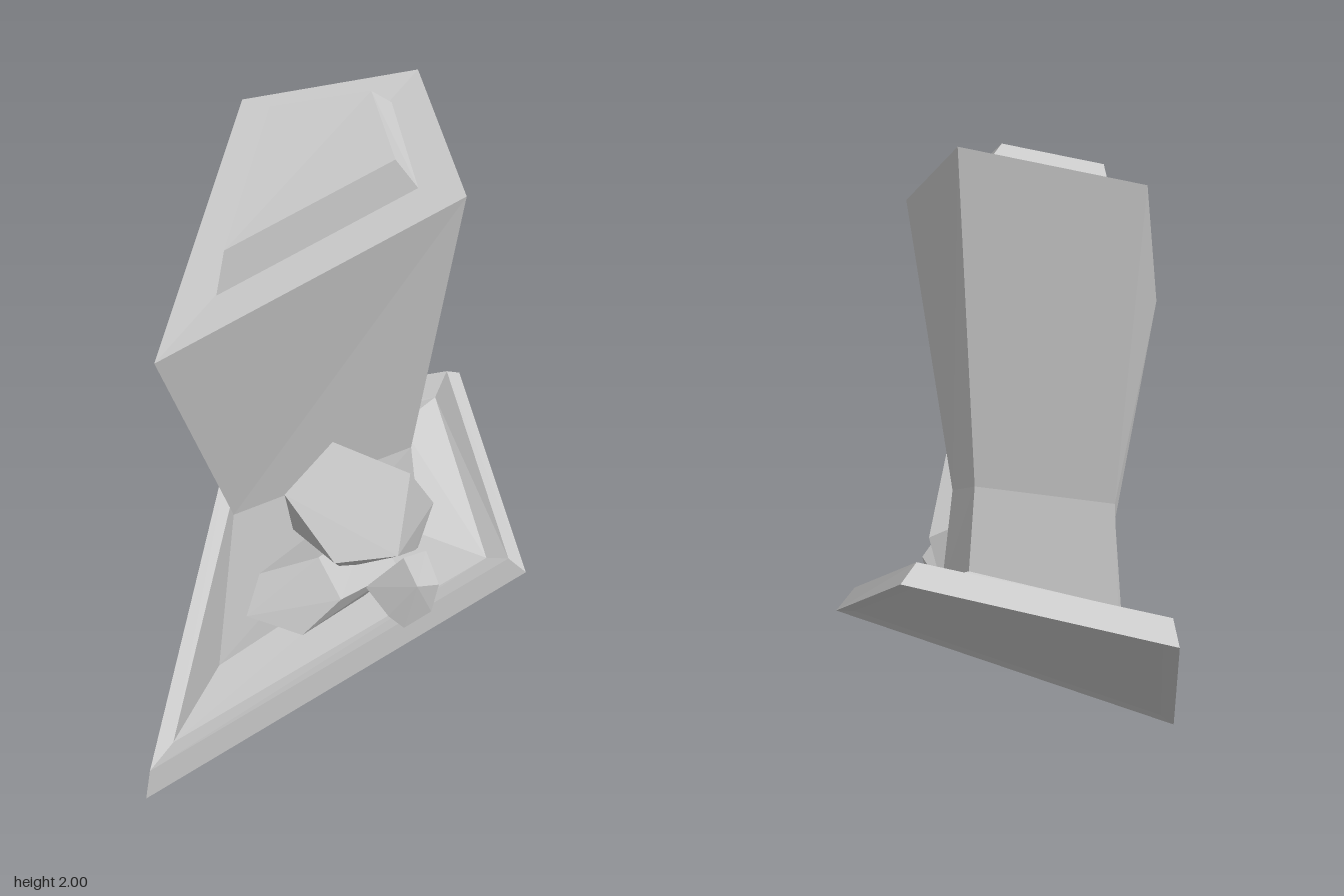
import * as THREE from 'three';
import { ConvexGeometry } from 'three/addons/geometries/ConvexGeometry.js';

const material = new THREE.MeshStandardMaterial({ color: 0xcccccc, flatShading: true });

// Joins four-cornered rings (front, left, back, right), lowest first, with optional end caps.
function loft(name, rings, capBottom, capTop) {
  const pos = [];
  const tri = (...corners) => corners.forEach((c) => pos.push(...c));
  for (let r = 0; r < rings.length - 1; r++) {
    const lo = rings[r], up = rings[r + 1];
    for (let i = 0; i < 4; i++) {
      const j = (i + 1) % 4;
      tri(lo[i], lo[j], up[j]);
      tri(lo[i], up[j], up[i]);
    }
  }
  const b = rings[0], t = rings[rings.length - 1];
  if (capBottom) { tri(b[0], b[2], b[1]); tri(b[0], b[3], b[2]); }
  if (capTop) { tri(t[0], t[1], t[2]); tri(t[0], t[2], t[3]); }
  const geo = new THREE.BufferGeometry();
  geo.setAttribute('position', new THREE.Float32BufferAttribute(pos, 3));
  geo.computeVertexNormals();
  const mesh = new THREE.Mesh(geo, material);
  mesh.name = name;
  return mesh;
}

// Shrinks a ring toward its centre and lifts it.
function inset(ring, scale, lift) {
  const mid = [0, 1, 2].map((k) => ring.reduce((s, p) => s + p[k], 0) / 4);
  return ring.map((p) => p.map((v, k) => mid[k] + (v - mid[k]) * scale + (k === 1 ? lift : 0)));
}

// Faceted crystal: the hull of an outer pentagon and its buried root.
function crystal(name, points) {
  const mesh = new THREE.Mesh(new ConvexGeometry(points.map((p) => new THREE.Vector3(...p))), material);
  mesh.name = name;
  return mesh;
}

export function createModel() {
  const group = new THREE.Group();
  group.name = 'kiteHat';

  // Kite-shaped rings, corners in the order front, left, back, right
  const brimEdge = [[-0.1, 0, 0.705], [0.58, 0.6, -0.28], [0.03, 0.9, -0.705], [-0.585, 0.71, -0.305]];
  const brimRim = [[-0.09, 0.11, 0.69], [0.545, 0.665, -0.23], [0.03, 0.94, -0.63], [-0.54, 0.77, -0.255]];
  const brimGroove = [[-0.085, 0.155, 0.59], [0.475, 0.64, -0.22], [0.03, 0.87, -0.57], [-0.48, 0.735, -0.245]];
  const crownBase = [[-0.06, 0.345, 0.4], [0.28, 0.68, -0.15], [0.02, 0.85, -0.395], [-0.33, 0.74, -0.17]];
  const waist = [[-0.075, 0.84, 0.295], [0.247, 0.99, -0.13], [0.02, 1.085, -0.36], [-0.305, 1.03, -0.15]];
  const crownTop = [[-0.06, 1.485, 0.59], [0.4, 1.83, -0.115], [0.02, 2, -0.42], [-0.385, 1.9, -0.14]];
  const blockBase = [[-0.04, 1.597, 0.37], [0.265, 1.825, -0.09], [0.02, 1.94, -0.3], [-0.26, 1.875, -0.11]];
  const blockTop = [[-0.03, 1.72, 0.345], [0.225, 1.91, -0.04], [0.02, 2, -0.205], [-0.21, 1.945, -0.055]];

  group.add(
    loft('brim', [inset(brimEdge, 0.9, 0.01), brimEdge, brimRim, brimGroove, crownBase], true, false),
    loft('crown', [crownBase, waist, crownTop], false, true),
    loft('topBlock', [blockBase, blockTop], false, true),
  );

  // Crystal cluster on the left side
  group.add(
    crystal('largeCrystal', [
      [0.265, 1.215, 0.265], [0.225, 1.11, 0.42], [0.345, 0.9, 0.355], [0.445, 0.88, 0.2], [0.41, 1.09, 0.105],
      [0.1, 0.95, 0], [0.07, 0.8, 0.2], [0.2, 0.68, 0.13], [0.33, 0.7, -0.05], [0.335, 0.83, -0.13], [0.3, 0.66, -0.11],
    ]),
    crystal('frontCrystal', [
      [0.13, 0.685, 0.48], [0.13, 0.8, 0.42], [0.245, 0.84, 0.3], [0.318, 0.72, 0.29], [0.255, 0.62, 0.385],
      [0.085, 0.595, 0.15], [0.075, 0.74, 0.13], [0.2, 0.78, 0], [0.29, 0.62, -0.03], [0.22, 0.535, 0.05],
    ]),
    crystal('smallCrystal', [
      [0.43, 0.67, 0.215], [0.48, 0.76, 0.15], [0.48, 0.7, 0.04], [0.465, 0.6, 0.05], [0.44, 0.59, 0.15],
      [0.3, 0.67, 0.15], [0.36, 0.745, 0.05], [0.35, 0.69, -0.08], [0.35, 0.59, -0.06], [0.28, 0.59, 0.08],
    ]),
  );
  return group;
}
